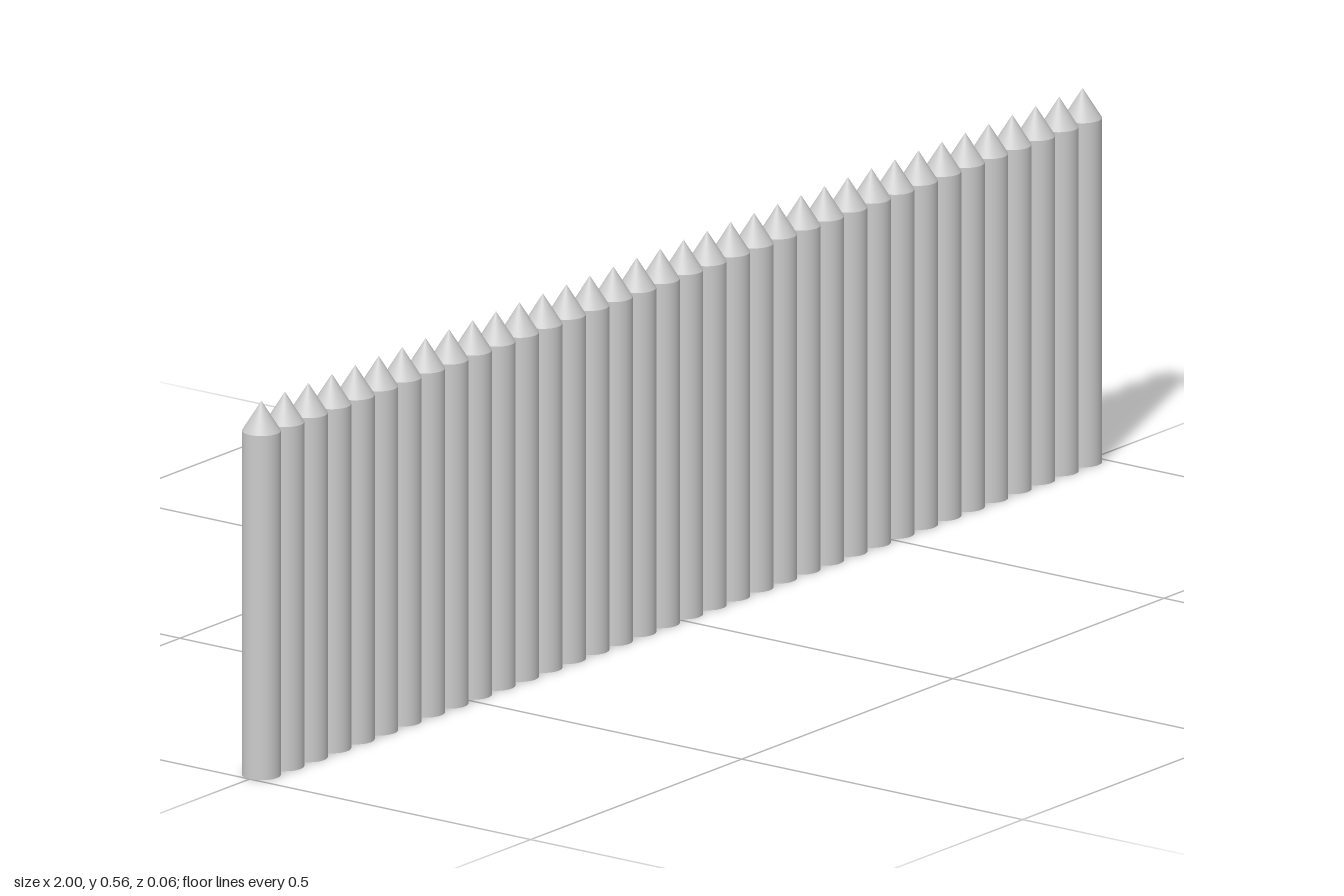
import * as THREE from 'three';

const COUNT = 36;
const RADIUS = 1 / COUNT; // neighbouring stakes just touch over a 2 unit span
const SHAFT = 0.511;
const TIP = 0.0445;
const SIDES = 32;

export function createModel() {
  const palisade = new THREE.Group();
  palisade.name = 'palisade';
  const material = new THREE.MeshStandardMaterial({ color: 0xcccccc });

  // Round shaft, closed at the bottom
  const shaftGeometry = new THREE.CylinderGeometry(RADIUS, RADIUS, SHAFT, SIDES);
  shaftGeometry.translate(0, SHAFT / 2, 0);

  // Sharpened conical point
  const tipGeometry = new THREE.ConeGeometry(RADIUS, TIP, SIDES, 1, true);
  tipGeometry.translate(0, SHAFT + TIP / 2, 0);

  // Row of identical stakes along x
  for (let i = 0; i < COUNT; i++) {
    const stake = new THREE.Group();
    stake.name = `stake${i + 1}`;
    const shaft = new THREE.Mesh(shaftGeometry, material);
    shaft.name = 'shaft';
    const tip = new THREE.Mesh(tipGeometry, material);
    tip.name = 'pointedTip';
    stake.add(shaft, tip);
    stake.position.x = -1 + RADIUS * (2 * i + 1);
    palisade.add(stake);
  }
  return palisade;
}
